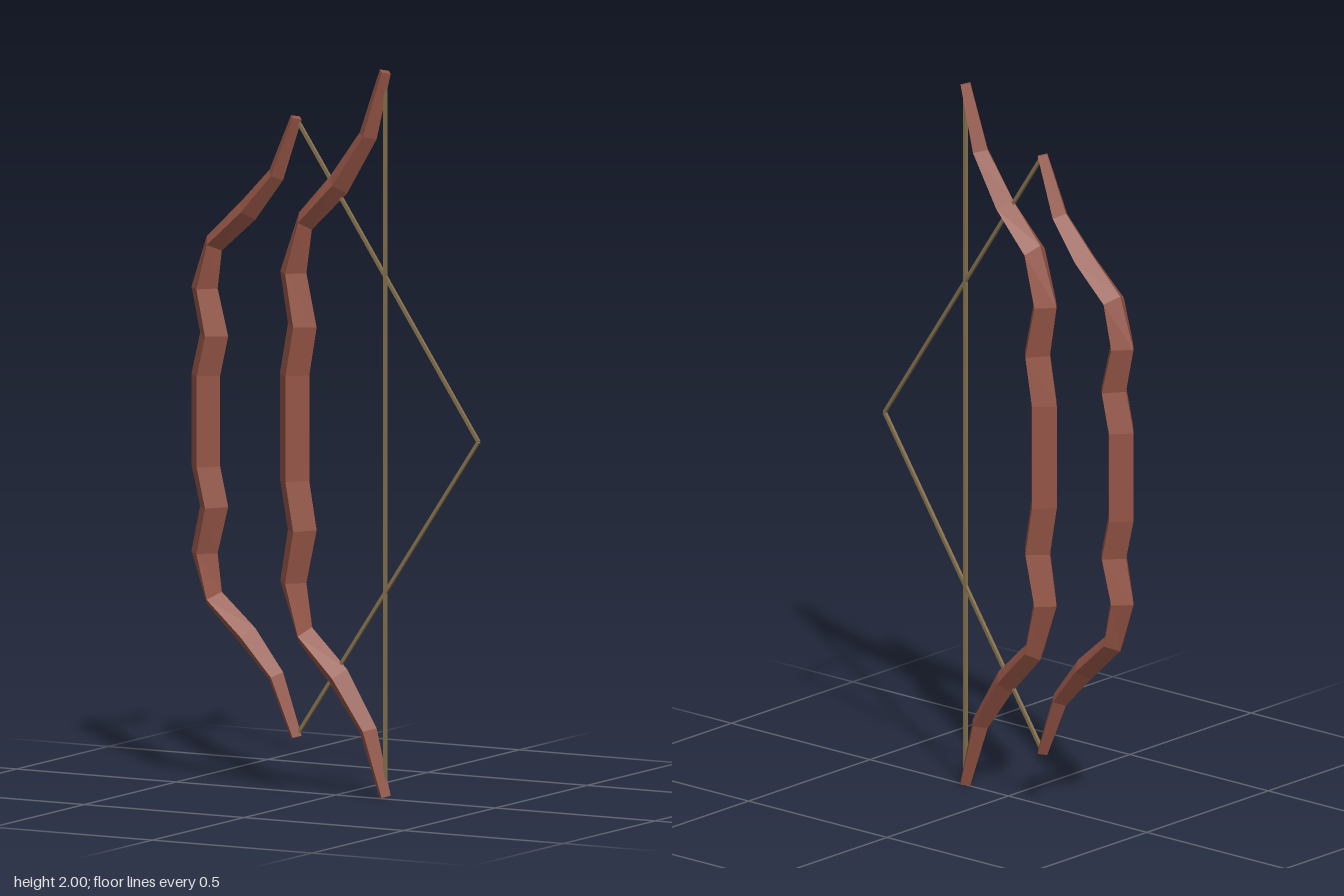
import * as THREE from 'three';

// Upper half of each bow, tip to grip: [outer x, outer y, inner x, inner y, half depth]
const RELAXED = [
  [0.138, 2.0, 0.172, 1.99, 0.02],
  [0.075, 1.823, 0.128, 1.808, 0.03],
  [-0.015, 1.70, 0.035, 1.652, 0.038],
  [-0.115, 1.59, -0.075, 1.545, 0.042],
  [-0.174, 1.425, -0.092, 1.425, 0.045],
  [-0.15, 1.283, -0.06, 1.278, 0.05],
  [-0.175, 1.145, -0.083, 1.145, 0.05],
];
const DRAWN = [
  [-0.14, 1.855, -0.107, 1.845, 0.02],
  [-0.208, 1.70, -0.165, 1.675, 0.03],
  [-0.298, 1.606, -0.252, 1.56, 0.04],
  [-0.404, 1.505, -0.357, 1.468, 0.042],
  [-0.452, 1.363, -0.37, 1.363, 0.045],
  [-0.425, 1.238, -0.337, 1.234, 0.05],
  [-0.452, 1.125, -0.362, 1.125, 0.05],
];

// Diamond-section stave, mirrored about y = 1
function staveGeometry(half) {
  const lower = half.map(([ox, oy, ix, iy, d]) => [ox, 2 - oy, ix, 2 - iy, d]).reverse();
  const rings = [...half, ...lower].map(([ox, oy, ix, iy, d]) => {
    const mx = (ox + ix) / 2, my = (oy + iy) / 2;
    return [[ox, oy, 0], [mx, my, d], [ix, iy, 0], [mx, my, -d]];
  });
  const pos = [];
  const quad = (a, b, c, d) => pos.push(...a, ...b, ...c, ...a, ...c, ...d);
  for (let i = 0; i < rings.length - 1; i++) {
    for (let j = 0; j < 4; j++) {
      const k = (j + 1) % 4;
      quad(rings[i][j], rings[i + 1][j], rings[i + 1][k], rings[i][k]);
    }
  }
  // Flat tips
  quad(...rings[0]);
  quad(...rings[rings.length - 1].slice().reverse());
  const geo = new THREE.BufferGeometry();
  geo.setAttribute('position', new THREE.Float32BufferAttribute(pos, 3));
  geo.computeVertexNormals();
  return geo;
}

// Straight square-section length of string between two points in the bow's plane
function stringMesh([ax, ay], [bx, by], material) {
  const length = Math.hypot(bx - ax, by - ay);
  const mesh = new THREE.Mesh(new THREE.BoxGeometry(0.009, length, 0.009), material);
  mesh.name = 'bowString';
  mesh.position.set((ax + bx) / 2, (ay + by) / 2, 0);
  mesh.rotation.z = Math.atan2(ax - bx, by - ay);
  return mesh;
}

export function createModel() {
  const wood = new THREE.MeshStandardMaterial({ color: 0x945445, flatShading: true });
  wood.name = 'reddish wood';
  const cord = new THREE.MeshStandardMaterial({ color: 0x86724e, flatShading: true });
  cord.name = 'string cord';

  const makeBow = (name, half, stringPoints) => {
    const bow = new THREE.Group();
    bow.name = name;
    const stave = new THREE.Mesh(staveGeometry(half), wood);
    stave.name = 'stave';
    bow.add(stave);
    for (let i = 0; i < stringPoints.length - 1; i++) {
      bow.add(stringMesh(stringPoints[i], stringPoints[i + 1], cord));
    }
    return bow;
  };

  const model = new THREE.Group();
  model.name = 'bows';
  model.add(
    makeBow('relaxedBow', RELAXED, [[0.155, 1.98], [0.155, 0.02]]),
    makeBow('drawnBow', DRAWN, [[-0.122, 1.845], [0.447, 1], [-0.122, 0.155]]),
  );
  return model;
}
